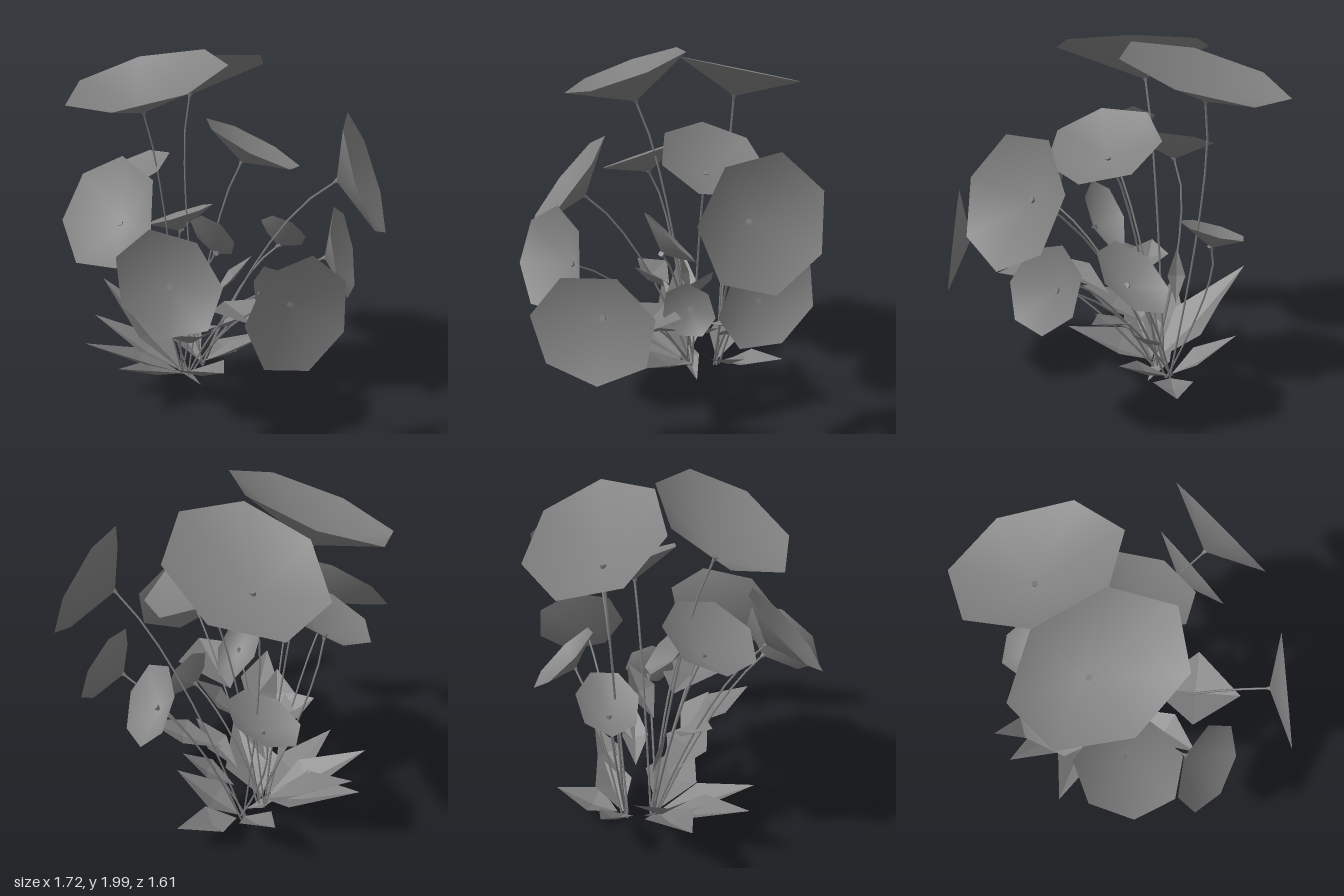
import * as THREE from 'three';

const V = (a) => new THREE.Vector3(...a);
const grey = new THREE.MeshStandardMaterial({ color: 0x808080, side: THREE.DoubleSide });
const SIDES = 7;

function meshFrom(points, index, name) {
  const g = new THREE.BufferGeometry().setFromPoints(points);
  g.setIndex(index);
  g.computeVertexNormals();
  const mesh = new THREE.Mesh(g, grey);
  mesh.name = name;
  return mesh;
}

// Seven-sided shallow open funnel; a, b, c are rim corners 0, 2 and 5
function blossomHead(apex, a, b, c) {
  const mid = b.clone().add(c).multiplyScalar(0.5);
  const u = a.clone().sub(mid).divideScalar(1.2225);
  const centre = a.clone().sub(u);
  const v = b.clone().sub(c).divideScalar(1.95);
  if (u.clone().cross(v).dot(centre.clone().sub(apex)) < 0) v.negate();
  const points = [apex];
  const index = [];
  for (let i = 0; i < SIDES; i++) {
    const t = (i / SIDES) * Math.PI * 2;
    points.push(centre.clone().addScaledVector(u, Math.cos(t)).addScaledVector(v, Math.sin(t)));
    index.push(0, 1 + i, 1 + ((i + 1) % SIDES));
  }
  return meshFrom(points, index, 'blossomHead');
}

// Arched stem with a small flared calyx under the head
function stem(base, tip) {
  const group = new THREE.Group();
  group.name = 'stem';
  const control = new THREE.Vector3(
    tip.x < -0.4 ? tip.x - 0.09 : (base.x + tip.x) / 2,
    THREE.MathUtils.lerp(base.y, tip.y, 0.8),
    (base.z + tip.z) / 2);
  const curve = new THREE.QuadraticBezierCurve3(base, control, tip);
  const stalk = new THREE.Mesh(new THREE.TubeGeometry(curve, 8, 0.006, 4), grey);
  stalk.name = 'stalk';
  const calyx = new THREE.Mesh(new THREE.CylinderGeometry(0.018, 0.006, 0.035, 5), grey);
  calyx.name = 'calyx';
  calyx.quaternion.setFromUnitVectors(new THREE.Vector3(0, 1, 0), curve.getTangent(1));
  calyx.position.copy(tip);
  group.add(stalk, calyx);
  return group;
}

// Diamond leaf folded along its midrib, widest at the given fraction of its length
function leaf(base, tip, width, widest) {
  const along = tip.clone().sub(base);
  const side = along.clone().cross(new THREE.Vector3(0, 1, 0)).normalize();
  const up = side.clone().cross(along).normalize();
  const rib = base.clone().addScaledVector(along, widest).addScaledVector(up, -0.02);
  const edge = (s) => rib.clone().addScaledVector(side, (s * width) / 2).addScaledVector(up, width * 0.2);
  const right = edge(1), left = edge(-1);
  return meshFrom([base, right, rib, rib, right, tip, base, rib, left, rib, tip, left],
    [0, 1, 2, 3, 4, 5, 6, 7, 8, 9, 10, 11], 'leaf');
}

// Each row: apex, then three rim corners
const largeBlossoms = [
  [[-0.31, 1.68, 0.21], [-0.71, 1.82, 0.28], [-0.13, 2.0, -0.08], [-0.18, 1.75, 0.58]],
  [[-0.44, 1.69, -0.32], [-0.83, 1.72, -0.5], [-0.15, 1.86, -0.63], [-0.5, 1.89, -0.01]],
  [[0.49, 1.31, -0.44], [0.75, 1.38, -0.21], [0.45, 1.66, -0.59], [0.72, 1.03, -0.59]],
  [[0.68, 0.85, 0.25], [0.76, 1.1, 0.17], [0.69, 0.85, 0.62], [0.86, 0.68, 0.02]],
  [[-0.22, 1.15, 0.49], [-0.25, 1.01, 0.79], [-0.48, 1.38, 0.5], [0.07, 1.19, 0.58]],
  [[0.12, 0.88, 0.5], [0.07, 1.2, 0.59], [0.4, 0.92, 0.42], [0.08, 0.86, 0.81]],
  [[0.03, 1.39, -0.2], [0.36, 1.4, -0.19], [0.0, 1.6, 0.02], [0.02, 1.42, -0.52]],
];
const smallBlossoms = [
  [[-0.47, 1.22, 0.16], [-0.68, 1.24, 0.28], [-0.3, 1.29, 0.4], [-0.5, 1.41, -0.04]],
  [[0.39, 0.84, -0.5], [0.6, 0.67, -0.42], [0.4, 0.83, -0.78], [0.5, 1.03, -0.38]],
  [[0.04, 0.83, -0.54], [-0.07, 0.77, -0.76], [0.185, 0.9, -0.61], [-0.07, 0.97, -0.52]],
  [[-0.51, 0.87, -0.31], [-0.71, 0.9, -0.28], [-0.46, 0.98, -0.16], [-0.48, 1.0, -0.48]],
  [[0.2, 0.68, -0.14], [0.25, 0.86, -0.12], [0.29, 0.68, -0.28], [0.29, 0.68, 0]],
  [[0.03, 0.92, 0.03], [0.02, 1.16, 0.13], [0.08, 0.97, -0.08], [-0.12, 0.98, 0]],
];

// Each row: base, tip, width
const groundLeaves = [
  [[-0.3, 0.1, -0.08], [-0.86, 0.58, 0], 0.3],
  [[-0.3, 0.1, -0.08], [-0.82, 0.39, 0.12], 0.28],
  [[-0.3, 0.1, -0.06], [-0.6, 0.36, 0.42], 0.26],
  [[-0.28, 0.1, -0.06], [-0.3, 0.3, 0.46], 0.24],
  [[-0.28, 0.1, -0.08], [0.17, 0.29, 0.12], 0.32],
  [[-0.3, 0.1, -0.27], [0.05, 0.31, -0.43], 0.22],
  [[-0.3, 0.1, -0.3], [-0.2, 0.19, -0.65], 0.22],
  [[-0.4, 0.18, -0.06], [-0.22, 0.01, -0.15], 0.12],
  [[-0.32, 0.1, -0.26], [-0.66, 0.34, -0.36], 0.2],
];
const stemLeaves = [
  [[0.07, 0.65, 0], [0.55, 0.65, 0.19], 0.44],
  [[-0.05, 0.5, 0.05], [0.21, 0.62, 0.43], 0.22],
  [[-0.1, 0.45, -0.22], [0.22, 0.62, -0.5], 0.2],
  [[-0.25, 0.6, 0.05], [-0.1, 0.78, 0.2], 0.2],
  [[-0.25, 0.62, 0.02], [-0.37, 0.72, 0.22], 0.24],
  [[-0.2, 0.35, -0.2], [0.12, 0.53, -0.22], 0.15],
  [[-0.4, 0.45, -0.1], [-0.43, 0.76, -0.02], 0.1],
  [[-0.1, 0.6, -0.1], [0.07, 0.85, -0.25], 0.18],
  [[-0.25, 0.3, -0.27], [-0.02, 0.49, -0.44], 0.15],
  [[-0.24, 0.32, -0.02], [0.06, 0.5, 0.2], 0.28],
];

export function createModel() {
  const model = new THREE.Group();
  model.name = 'floweringPlant';
  // Heads on stems springing from a front and a back tuft
  [...largeBlossoms, ...smallBlossoms].forEach((row, i) => {
    const [apex, a, b, c] = row.map(V);
    const flower = new THREE.Group();
    flower.name = 'flower';
    const tuftZ = apex.z < -0.25 ? -0.26 : -0.1;
    const base = new THREE.Vector3(-0.3 + 0.02 * ((i % 4) - 1.5), 0.08, tuftZ + 0.015 * ((i % 3) - 1));
    flower.add(stem(base, apex), blossomHead(apex, a, b, c));
    model.add(flower);
  });
  // Broad leaves at the foot, slimmer ones up the stems
  for (const [base, tip, width] of groundLeaves) model.add(leaf(V(base), V(tip), width, 0.4));
  for (const [base, tip, width] of stemLeaves) model.add(leaf(V(base), V(tip), width, 0.5));
  return model;
}
